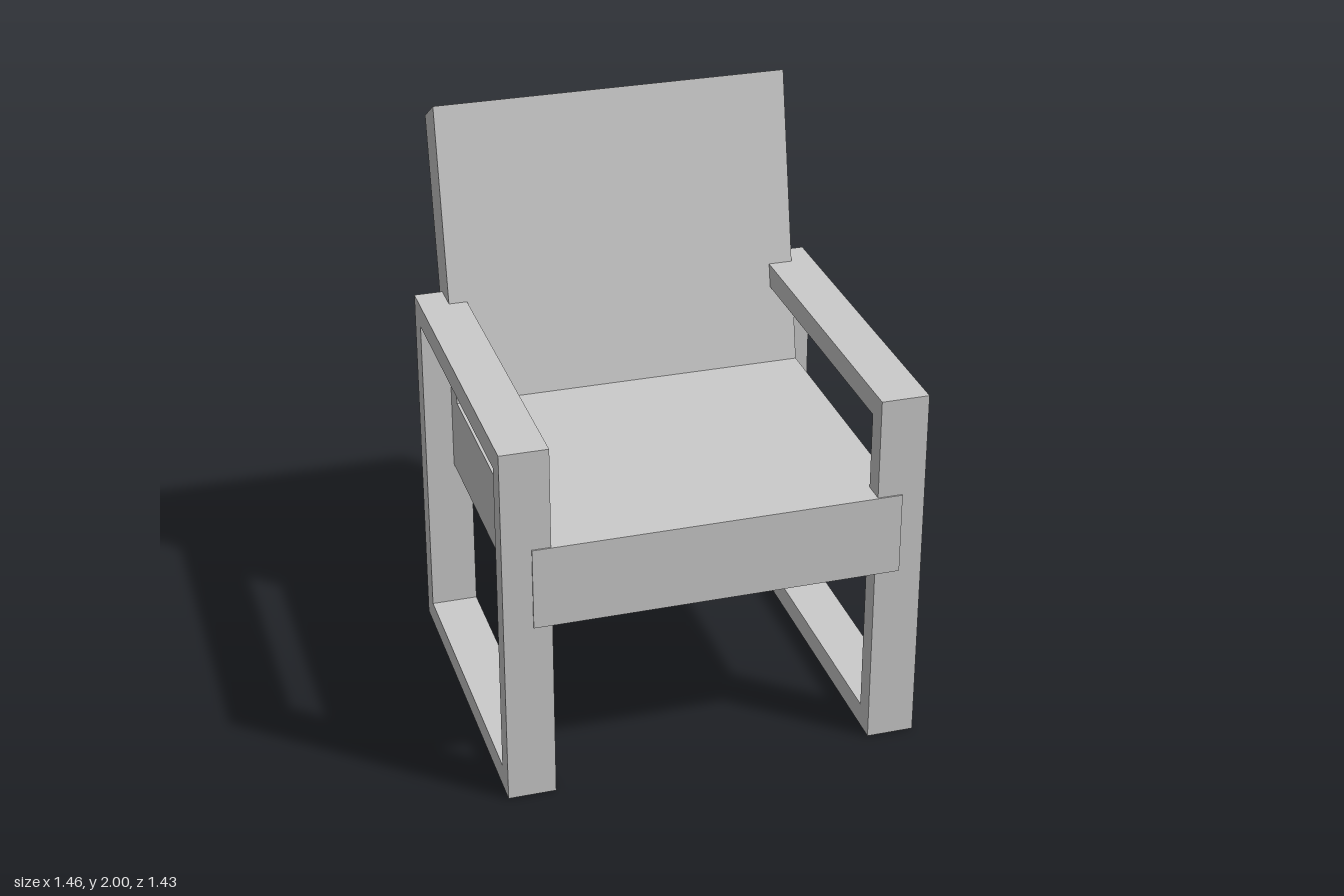
import * as THREE from 'three';

const material = new THREE.MeshStandardMaterial({ color: 0xcccccc, flatShading: true });

const toPoints = (pairs) => pairs.map(([z, y]) => new THREE.Vector2(z, y));
const rect = (z0, z1, y0, y1) => [[z0, y0], [z1, y0], [z1, y1], [z0, y1]];

// Extrudes a side profile of [z, y] points across the width from x0 to x1
function sidePart(name, profile, x0, x1, hole) {
  const shape = new THREE.Shape(toPoints(profile));
  if (hole) shape.holes.push(new THREE.Path(toPoints(hole)));
  const geometry = new THREE.ExtrudeGeometry(shape, { depth: x1 - x0, bevelEnabled: false });
  geometry.rotateY(-Math.PI / 2);
  geometry.translate(x1, 0, 0);
  const mesh = new THREE.Mesh(geometry, material);
  mesh.name = name;
  return mesh;
}

export function createModel() {
  const chair = new THREE.Group();
  chair.name = 'armchair';

  // Side frames: leg, armrest and floor runner in one closed loop
  const outer = rect(-0.542, 0.709, 0, 1.312);
  const opening = rect(-0.455, 0.63, 0.083, 1.228);
  chair.add(sidePart('leftFrame', outer, 0.562, 0.728, opening));
  chair.add(sidePart('rightFrame', outer, -0.728, -0.562, opening));

  // Thick seat, let into both frames and just proud of the front legs
  chair.add(sidePart('seat', rect(-0.543, 0.714, 0.66, 0.953), -0.627, 0.648));

  // Leaning backrest with a sloped top edge, sunk into the seat
  const back = [[-0.34, 0.85], [-0.573, 2], [-0.714, 1.915], [-0.494, 0.85]];
  chair.add(sidePart('backrest', back, -0.627, 0.648));

  return chair;
}
